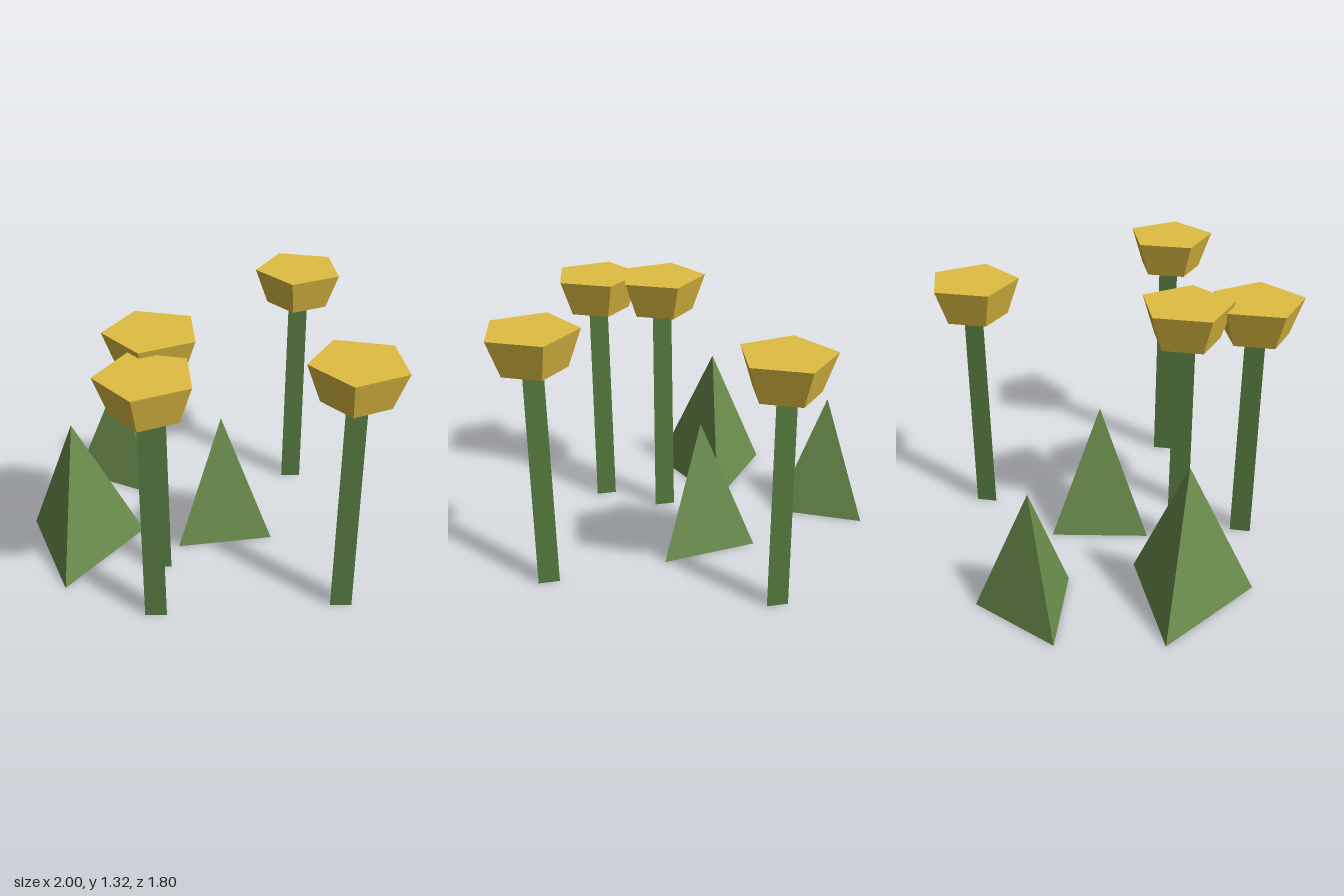
import * as THREE from 'three';

const material = (color) =>
  new THREE.MeshStandardMaterial({ color, flatShading: true, side: THREE.DoubleSide });

export function createModel() {
  const model = new THREE.Group();
  const grassGreen = material(0x6b8e4e);
  const stemGreen = material(0x587d41);
  const yellow = material(0xe0be42);

  const add = (parent, name, geometry, mat, x, y, z) => {
    const mesh = new THREE.Mesh(geometry, mat);
    mesh.name = name;
    mesh.position.set(x, y, z);
    parent.add(mesh);
  };

  // Five-sided blossom cup: flared wall and flat top, open underneath
  const blossom = new THREE.LatheGeometry(
    [[0.16, 0], [0.224, 0.18], [0, 0.18]].map(([r, y]) => new THREE.Vector2(r, y)),
    5, Math.PI / 2);

  // Flowers: x, z, stem height
  [
    [0.065, -0.69, 1.09],
    [-0.134, 0.375, 1.135],
    [0.038, 0.685, 1.105],
    [0.772, 0.18, 1.13],
  ].forEach(([x, z, h]) => {
    const flower = new THREE.Group();
    flower.name = 'flower';
    flower.position.set(x, 0, z);
    // Slightly tapered three-sided stem, one edge towards +x
    add(flower, 'stem',
      new THREE.CylinderGeometry(0.055, 0.06, h, 3, 1, true, Math.PI / 2), stemGreen, 0, h / 2, 0);
    add(flower, 'blossom', blossom, yellow, 0, h, 0);
    model.add(flower);
  });

  // Grass tufts, open three-sided cones: x, z, radius, height, turn
  [
    [-0.775, -0.225, 0.271, 0.643, -3.068],
    [-0.574, 0.46, 0.342, 0.735, 2.5],
    [-0.028, -0.047, 0.282, 0.675, -2.457],
  ].forEach(([x, z, r, h, turn]) => {
    add(model, 'grassTuft', new THREE.ConeGeometry(r, h, 3, 1, true, turn), grassGreen, x, h / 2, z);
  });

  return model;
}
